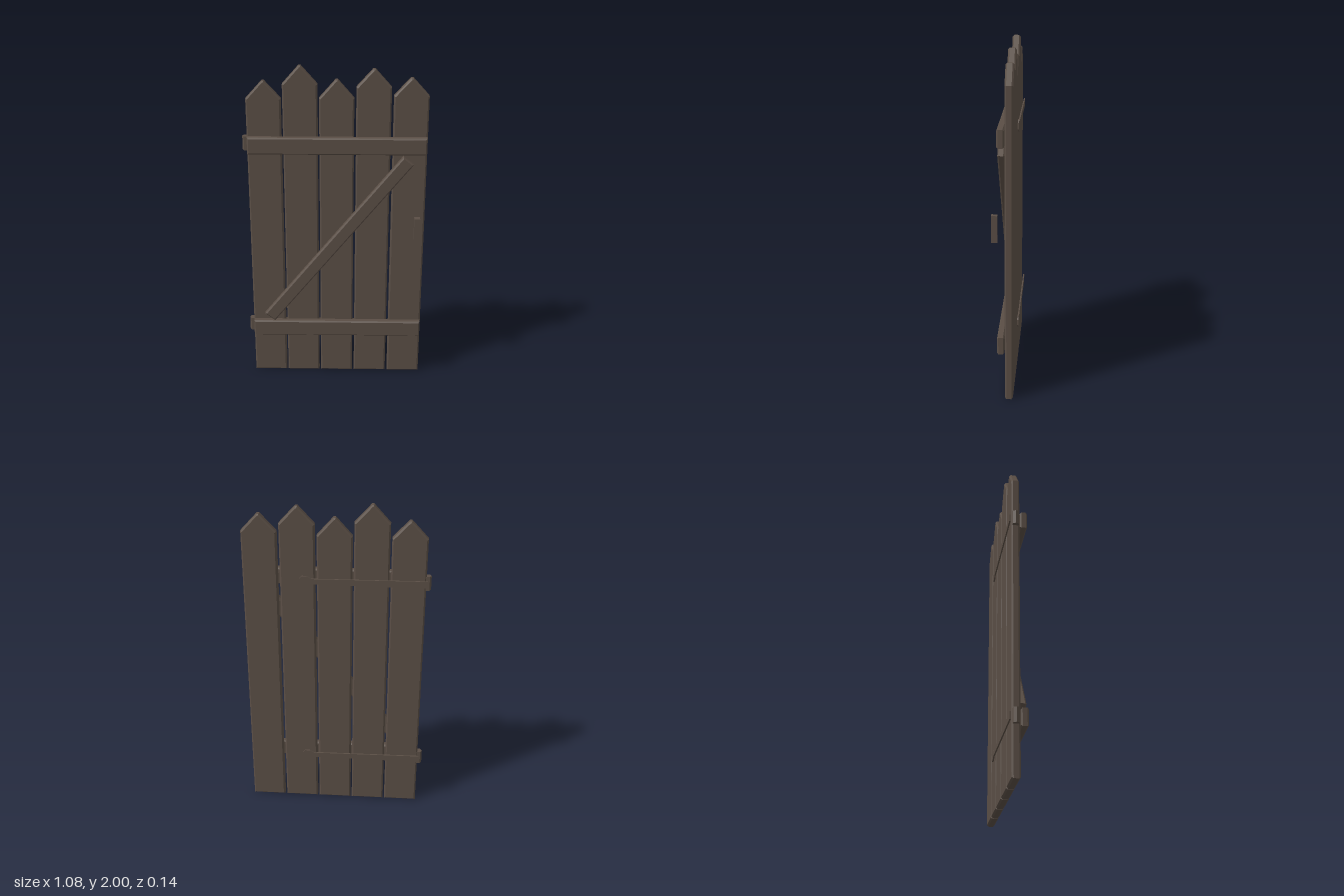
import * as THREE from 'three';

export function createModel() {
  const gate = new THREE.Group();
  gate.name = 'plankGate';
  const wood = new THREE.MeshStandardMaterial({ color: 0x5a4e45, flatShading: true });
  wood.name = 'weatheredBrown';

  // Slab cut from an outline, with chamfered edges inside that outline
  function slab(name, points, z0, z1, bevel) {
    const shape = new THREE.Shape(points.map(([x, y]) => new THREE.Vector2(x, y)));
    const geometry = new THREE.ExtrudeGeometry(shape, {
      depth: z1 - z0 - 2 * bevel, bevelEnabled: bevel > 0, bevelSegments: 1,
      bevelSize: bevel, bevelThickness: bevel, bevelOffset: -bevel,
    });
    geometry.translate(0, 0, z0 + bevel);
    const mesh = new THREE.Mesh(geometry, wood);
    mesh.name = name;
    gate.add(mesh);
    return mesh;
  }
  const rect = (x0, x1, y0, y1) => [[x0, y0], [x1, y0], [x1, y1], [x0, y1]];

  // Pointed upright planks: left edge, shoulder height, peak height
  const planks = [
    [-0.512, 1.808, 1.912], [-0.302, 1.893, 2.0], [-0.092, 1.812, 1.92],
    [0.12, 1.877, 1.982], [0.334, 1.828, 1.932],
  ];
  planks.forEach(([x, shoulder, peak], i) => {
    const w = 0.201, mid = x + w / 2;
    slab('plank' + (i + 1), [
      [x, 0], [x + w, 0], [x + w, shoulder],
      [mid + 0.006, peak], [mid - 0.006, peak], [x, shoulder],
    ], -0.055, -0.008, 0.009);
  });

  // Cross battens
  slab('lowerBatten', rect(-0.508, 0.53, 0.283, 0.386), -0.005, 0.037, 0.008);
  slab('upperBatten', rect(-0.508, 0.53, 1.49, 1.592), -0.005, 0.037, 0.008);

  // Diagonal brace
  const brace = slab('diagonalBrace', rect(-0.668, 0.668, -0.039, 0.039), -0.004, 0.037, 0.008);
  brace.position.set(0.011, 0.934, 0);
  brace.rotation.z = Math.atan2(1.045, 0.835);

  // Handle block
  slab('handle', rect(0.47, 0.504, 0.95, 1.105), 0.034, 0.069, 0);

  // Hinges: six-sided knuckle and a long strap with a wider end
  for (const [side, y] of [['lower', 0.335], ['upper', 1.542]]) {
    const knuckle = new THREE.Mesh(new THREE.CylinderGeometry(0.021, 0.021, 0.085, 6), wood);
    knuckle.name = side + 'HingeKnuckle';
    knuckle.rotation.y = Math.PI / 6;
    knuckle.position.set(-0.519, y, -0.032);
    gate.add(knuckle);

    slab(side + 'HingeStrap', [
      [-0.52, y - 0.021], [0.14, y - 0.016], [0.165, y - 0.032], [0.195, y - 0.032],
      [0.208, y - 0.018], [0.208, y + 0.018], [0.195, y + 0.032], [0.165, y + 0.032],
      [0.14, y + 0.016], [-0.52, y + 0.021],
    ], -0.069, -0.061, 0);
  }
  return gate;
}
